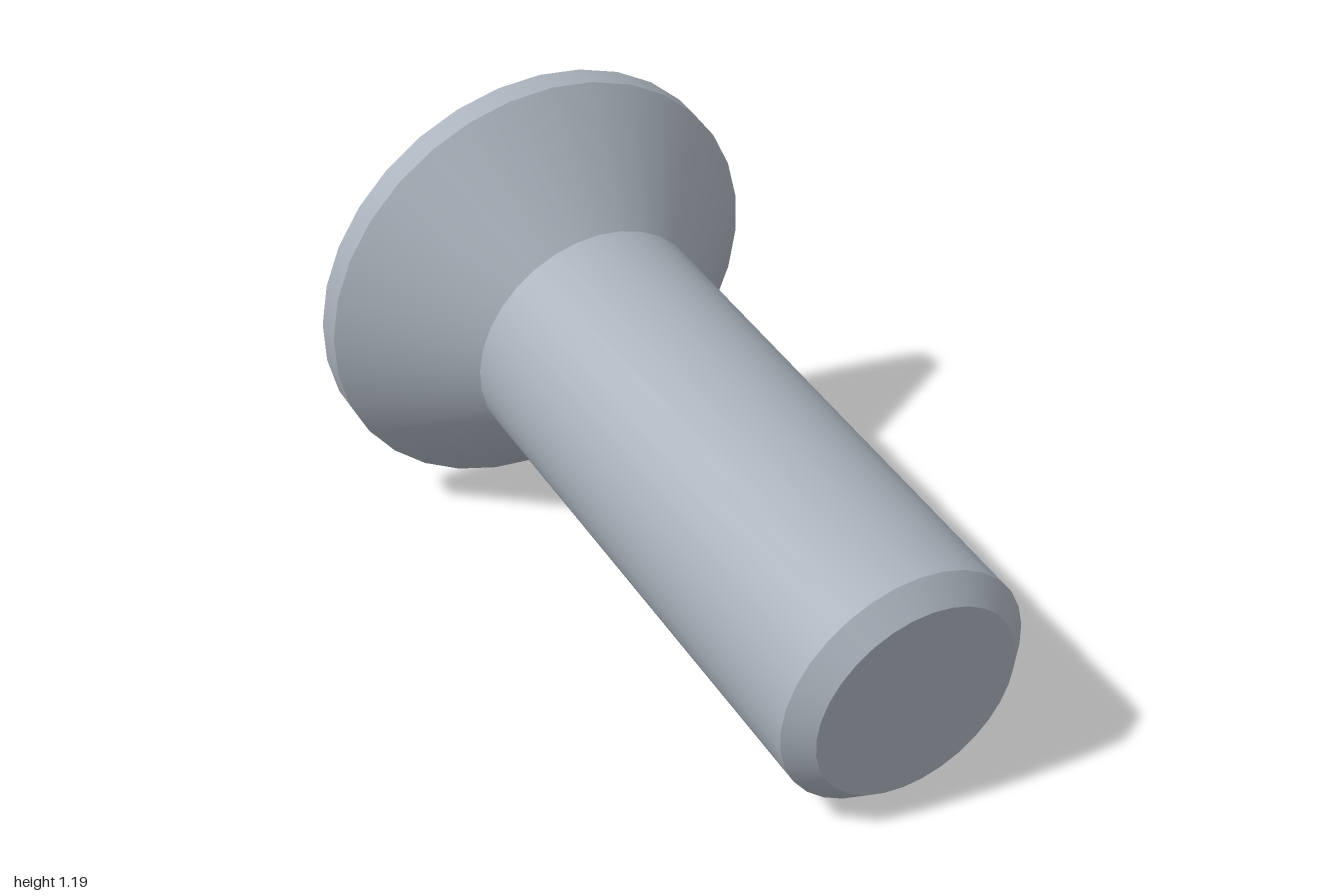
import * as THREE from 'three';

const SIDES = 32;
const HEAD_R = 0.598, SHANK_R = 0.323, TIP_R = 0.266;
const LENGTH = 1.838, RIM = 0.067, HEAD_H = 0.342, CHAMFER = 0.057;

// Cross-shaped recess outline with a narrow slot on each diagonal, counter-clockwise
function recessOutline(reach, half, slotReach, slotHalf) {
  const base = half * Math.SQRT2 + slotHalf;
  const onDiagonal = (r, h) => new THREE.Vector2((r + h) * Math.SQRT1_2, (r - h) * Math.SQRT1_2);
  const quarter = [
    new THREE.Vector2(reach, -half),
    new THREE.Vector2(reach, half),
    onDiagonal(base, slotHalf),
    onDiagonal(slotReach, slotHalf),
    onDiagonal(slotReach, -slotHalf),
    onDiagonal(base, -slotHalf),
  ];
  const points = [];
  for (let q = 0; q < 4; q++) {
    for (const p of quarter) points.push(p.clone().rotateAround(new THREE.Vector2(), q * Math.PI / 2));
  }
  return points;
}

// Tapered recess walls closed by a shallow conical floor
function recessGeometry(top, bottom, depth, apexDepth) {
  const at = (p, y) => [p.x, y, -p.y];
  const verts = [];
  top.forEach((p, i) => {
    const j = (i + 1) % top.length;
    const t0 = at(p, 0), t1 = at(top[j], 0);
    const b0 = at(bottom[i], -depth), b1 = at(bottom[j], -depth);
    verts.push(...t0, ...t1, ...b0, ...t1, ...b1, ...b0);
    verts.push(...b0, ...b1, 0, -apexDepth, 0);
  });
  const g = new THREE.BufferGeometry();
  g.setAttribute('position', new THREE.Float32BufferAttribute(verts, 3));
  g.computeVertexNormals();
  return g;
}

export function createModel() {
  const steel = new THREE.MeshStandardMaterial({ color: 0xa9b1bb });
  steel.name = 'steel';

  const screw = new THREE.Group();
  screw.name = 'countersunkScrew';
  const add = (name, geometry) => {
    const mesh = new THREE.Mesh(geometry, steel);
    mesh.name = name;
    screw.add(mesh);
  };

  // Turned bands, each its own surface so the edges between them stay sharp
  const band = (name, r0, y0, r1, y1) => add(name, new THREE.LatheGeometry(
    [new THREE.Vector2(r0, y0), new THREE.Vector2(r1, y1)], SIDES));
  band('tipChamfer', TIP_R, -LENGTH, SHANK_R, -LENGTH + CHAMFER);
  band('shank', SHANK_R, -LENGTH + CHAMFER, SHANK_R, -HEAD_H);
  band('headCone', SHANK_R, -HEAD_H, HEAD_R, -RIM);
  band('headRim', HEAD_R, -RIM, HEAD_R, 0);

  // Flat end of the shank
  add('tipFace', new THREE.CircleGeometry(TIP_R, SIDES).rotateX(Math.PI / 2).translate(0, -LENGTH, 0));

  // Head face with the driver recess cut through it
  const top = recessOutline(0.33, 0.11, 0.34, 0.016);
  const bottom = recessOutline(0.24, 0.095, 0.17, 0.012);
  const disc = [];
  for (let i = 0; i < SIDES; i++) {
    const a = i / SIDES * Math.PI * 2;
    disc.push(new THREE.Vector2(HEAD_R * Math.cos(a), HEAD_R * Math.sin(a)));
  }
  const face = new THREE.Shape(disc);
  face.holes.push(new THREE.Path(top));
  add('headFace', new THREE.ShapeGeometry(face).rotateX(-Math.PI / 2));
  add('driverRecess', recessGeometry(top, bottom, 0.27, 0.36));

  // Lay the screw along its slanted axis, head towards -x
  const up = new THREE.Vector3(-0.966, 0.159, -0.203).normalize();
  const side = new THREE.Vector3(0, 1, 0).cross(up).normalize();
  const third = new THREE.Vector3().crossVectors(side, up);
  screw.quaternion.setFromRotationMatrix(new THREE.Matrix4().makeBasis(side, up, third));
  screw.position.set(-0.845, 0.6, -0.048);

  const model = new THREE.Group();
  model.name = 'model';
  model.add(screw);
  return model;
}
